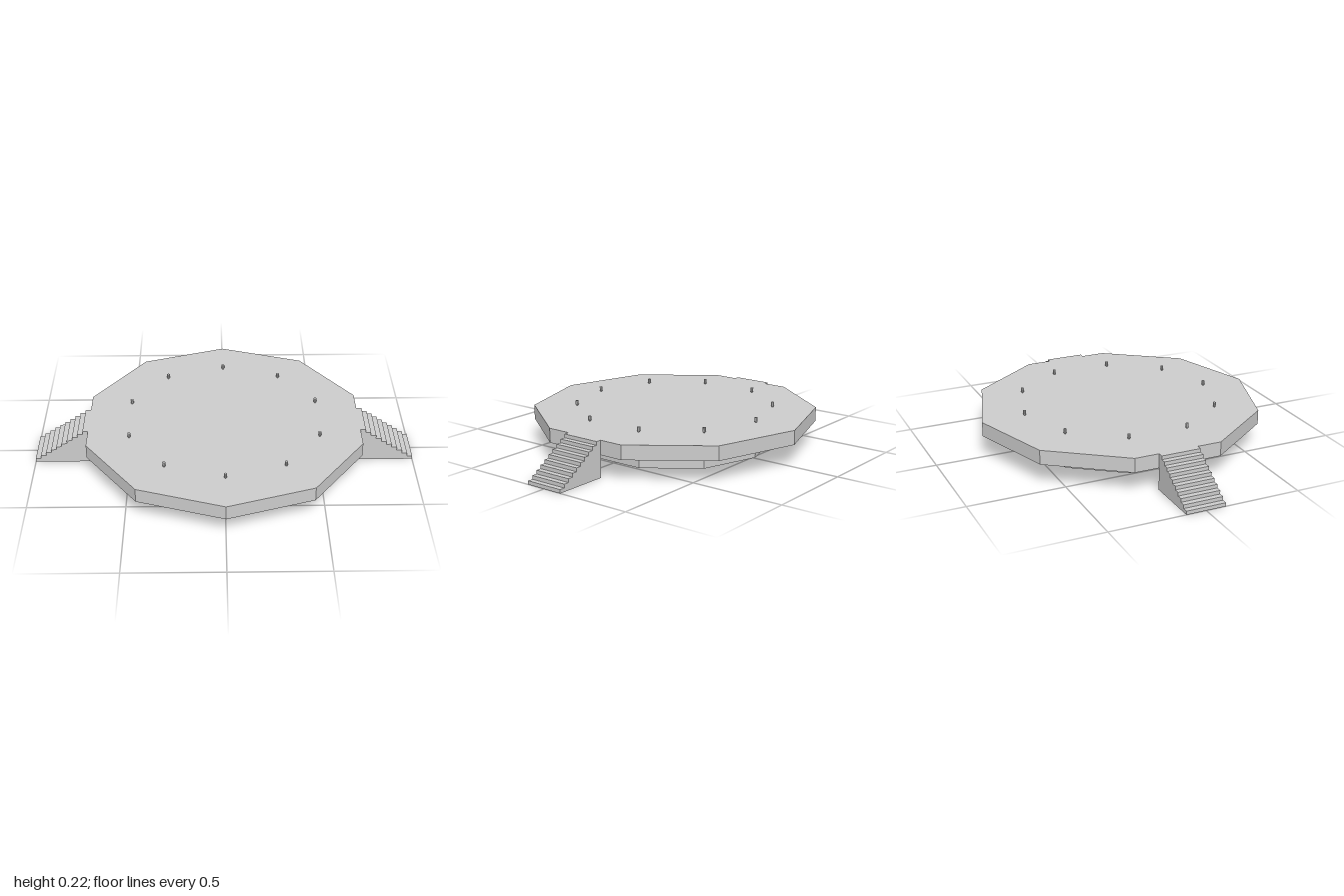
import * as THREE from 'three';

const SIDES = 10;
const DECK_TOP = 0.19;
const material = new THREE.MeshStandardMaterial({ color: 0xcccccc, flatShading: true });

function part(name, geometry) {
  const mesh = new THREE.Mesh(geometry, material);
  mesh.name = name;
  return mesh;
}

// Ten-sided slab with corners pointing to front and back
function slab(name, radius, bottom, top) {
  const mesh = part(name, new THREE.CylinderGeometry(radius, radius, top - bottom, SIDES));
  mesh.position.y = (bottom + top) / 2;
  return mesh;
}

// Solid flight descending along +x, with a shallow hollow underneath
function staircase(name) {
  const steps = 10, inner = 0.713, outer = 1, halfWidth = 0.104, hollow = 0.016, wall = 0.003;
  const tread = (outer - inner) / steps, riser = DECK_TOP / steps;
  const group = new THREE.Group();
  group.name = name;

  const profile = new THREE.Shape();
  profile.moveTo(inner, hollow);
  profile.lineTo(outer, hollow);
  for (let i = 0; i < steps; i++) {
    profile.lineTo(outer - i * tread, (i + 1) * riser);
    profile.lineTo(outer - (i + 1) * tread, (i + 1) * riser);
  }
  const flight = new THREE.ExtrudeGeometry(profile, { depth: 2 * halfWidth, bevelEnabled: false });
  flight.translate(0, 0, -halfWidth);
  group.add(part('steps', flight));

  // Thin rim around the hollow underside
  const rectangle = (PathType, inset) => new PathType([
    new THREE.Vector2(inner + inset, -halfWidth + inset),
    new THREE.Vector2(outer - inset, -halfWidth + inset),
    new THREE.Vector2(outer - inset, halfWidth - inset),
    new THREE.Vector2(inner + inset, halfWidth - inset),
  ]);
  const rim = rectangle(THREE.Shape, 0);
  rim.holes.push(rectangle(THREE.Path, wall));
  const skirt = new THREE.ExtrudeGeometry(rim, { depth: hollow, bevelEnabled: false });
  skirt.rotateX(-Math.PI / 2);
  group.add(part('bottomRim', skirt));
  return group;
}

export function createModel() {
  const model = new THREE.Group();
  model.name = 'platform';

  model.add(slab('base', 0.52, 0.004, 0.116));
  model.add(slab('deck', 0.75, 0.115, DECK_TOP));

  // Stairs on both sides
  const left = staircase('leftStairs');
  const right = staircase('rightStairs');
  right.rotation.y = Math.PI;
  model.add(left, right);

  // Ring of small pegs with tapered feet
  const pegProfile = [[0, 0], [0.004, 0], [0.008, 0.006], [0.008, 0.027], [0, 0.027]]
    .map(([r, y]) => new THREE.Vector2(r, y));
  const pegGeometry = new THREE.LatheGeometry(pegProfile, 8);
  for (let i = 0; i < SIDES; i++) {
    const angle = (i / SIDES) * Math.PI * 2;
    const peg = part('peg', pegGeometry);
    peg.position.set(0.52 * Math.sin(angle), DECK_TOP, 0.52 * Math.cos(angle));
    model.add(peg);
  }
  return model;
}
